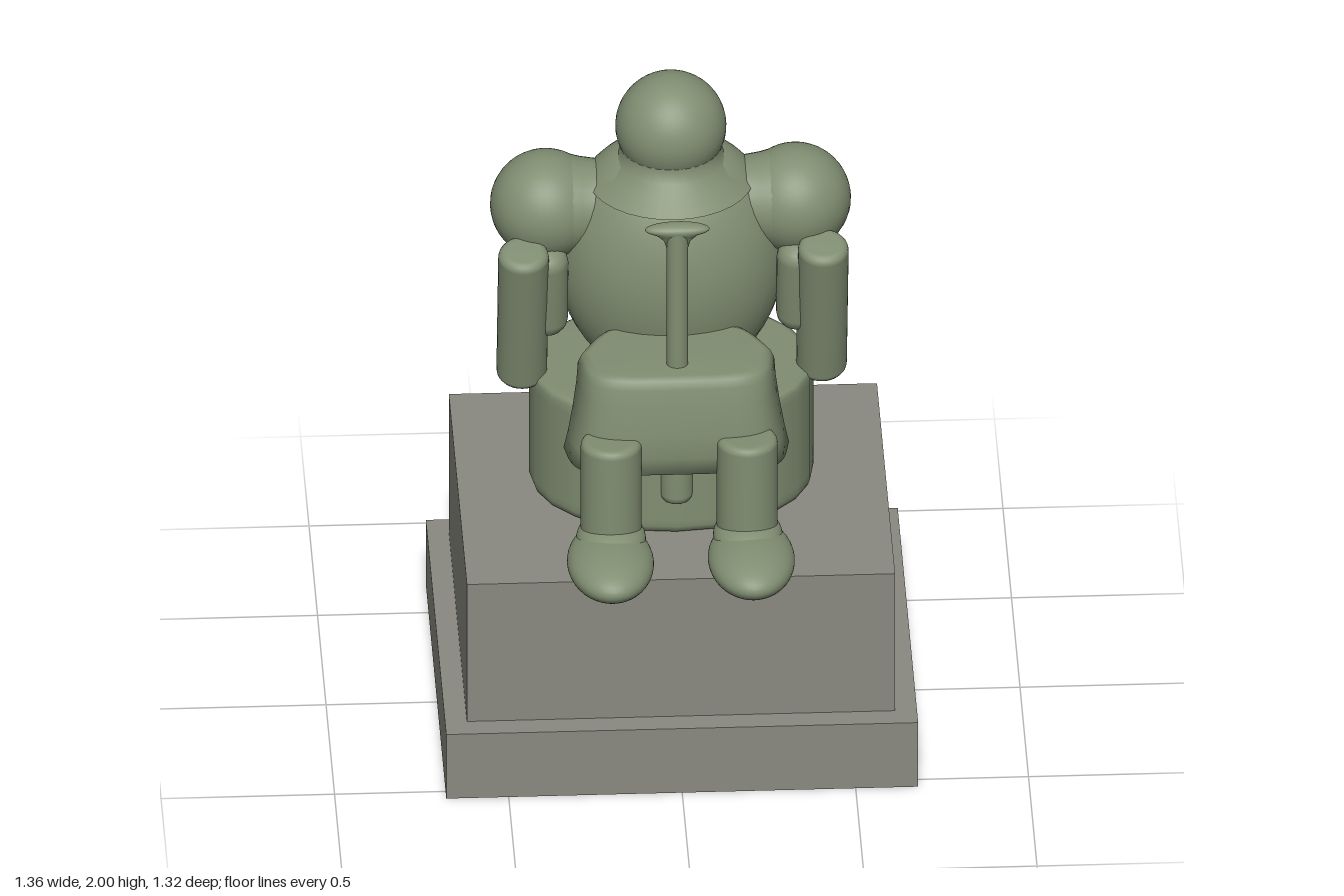
import * as THREE from 'three';

const patina = new THREE.MeshStandardMaterial({ color: 0x808e72 });
patina.name = 'green patina';
const stone = new THREE.MeshStandardMaterial({ color: 0x8a8a81 });
stone.name = 'grey stone';

export function createModel() {
  const model = new THREE.Group();
  model.name = 'seatedStatue';

  const add = (name, geometry, material = patina) => {
    const mesh = new THREE.Mesh(geometry, material);
    mesh.name = name;
    model.add(mesh);
    return mesh;
  };
  const block = (name, w, y0, y1, z0, z1) =>
    add(name, new THREE.BoxGeometry(w, y1 - y0, z1 - z0), stone)
      .position.set(0, (y0 + y1) / 2, (z0 + z1) / 2);
  const ball = (name, c, r) => {
    const mesh = add(name, new THREE.SphereGeometry(1, 40, 28));
    mesh.position.set(...c);
    mesh.scale.set(...r);
    return mesh;
  };
  const lathe = (name, points, sides = 32) =>
    add(name, new THREE.LatheGeometry(points.map(p => new THREE.Vector2(...p)), sides));
  // Round post with softened ends, running from a up to b
  const post = (name, a, b, r, bevel) => {
    const from = new THREE.Vector3(...a);
    const dir = new THREE.Vector3(...b).sub(from);
    const h = dir.length();
    const pts = [[0, 0]];
    for (let i = 0; i <= 4; i++) {
      const t = i / 4 * Math.PI / 2;
      pts.push([r - bevel + bevel * Math.sin(t), bevel - bevel * Math.cos(t)]);
    }
    for (let i = 0; i <= 4; i++) {
      const t = i / 4 * Math.PI / 2;
      pts.push([r - bevel + bevel * Math.cos(t), h - bevel + bevel * Math.sin(t)]);
    }
    pts.push([0, h]);
    const mesh = lathe(name, pts);
    mesh.position.copy(from);
    mesh.quaternion.setFromUnitVectors(new THREE.Vector3(0, 1, 0), dir.normalize());
    return mesh;
  };

  // Stepped plinth
  block('plinthBase', 1.36, 0, 0.215, -0.66, 0.54);
  block('plinthBlock', 1.234, 0.215, 0.675, -0.595, 0.47);

  // Oval seat with softened rims
  const seat = lathe('seat', [[0, 0.675], [0.94, 0.675], [0.985, 0.682], [1, 0.7], [1, 0.72], [1, 1.02],
    [1, 1.045], [0.985, 1.06], [0.94, 1.066], [0, 1.07]], 24);
  seat.scale.set(0.41, 1, 0.335);
  seat.position.z = -0.115;

  // Torso, neck and head
  ball('torso', [0, 1.4, -0.15], [0.33, 0.4, 0.262]);
  lathe('neck', [[0.24, 1.665], [0.19, 1.705], [0.16, 1.735], [0.146, 1.765], [0.148, 1.79]])
    .position.z = -0.13;
  ball('head', [0, 1.84, -0.13], [0.16, 0.16, 0.16]);

  // Yoke sweeping from one shoulder to the other
  const yoke = lathe('shoulderYoke', [[0.15, -0.36], [0.148, -0.31], [0.135, -0.26], [0.127, -0.21], [0.13, -0.15],
    [0.14, 0], [0.13, 0.15], [0.127, 0.21], [0.135, 0.26], [0.148, 0.31], [0.15, 0.36]]);
  yoke.rotation.z = -Math.PI / 2;
  yoke.position.set(0, 1.575, -0.15);

  for (const s of [1, -1]) {
    const side = s > 0 ? 'left' : 'right';
    // Shoulder and arm
    ball(side + 'Shoulder', [s * 0.36, 1.575, -0.15], [0.16, 0.16, 0.16]);
    post(side + 'Arm', [s * 0.432, 1.04, -0.087], [s * 0.432, 1.525, 0.03], 0.073, 0.025);
    post(side + 'ArmFold', [s * 0.36, 1.2, -0.07], [s * 0.36, 1.5, -0.02], 0.06, 0.05);
    // Knee, shin and foot
    post(side + 'Thigh', [s * 0.2, 1.0, 0.05], [s * 0.196, 1.0, 0.41], 0.078, 0.03);
    post(side + 'Shin', [s * 0.196, 0.7, 0.36], [s * 0.196, 1.085, 0.36], 0.088, 0.022);
    ball(side + 'Foot', [s * 0.203, 0.733, 0.462], [0.125, 0.072, 0.2]);
    ball(side + 'Ankle', [s * 0.197, 0.765, 0.38], [0.1, 0.06, 0.13]);
  }

  // Draped lap: stacked rounded sections [y, half width, back z, front z]
  const sections = [
    [0.945, 0, 0.17, 0.17], [0.945, 0.26, 0.04, 0.32], [0.96, 0.325, 0.02, 0.36],
    [1.02, 0.312, 0.01, 0.375], [1.1, 0.298, 0, 0.372], [1.18, 0.287, 0, 0.358],
    [1.235, 0.283, 0, 0.348], [1.26, 0.272, 0.01, 0.338], [1.27, 0.25, 0.03, 0.322], [1.268, 0, 0.17, 0.17],
  ];
  const N = 48, verts = [], faces = [];
  const bend = (v, p) => Math.sign(v) * Math.abs(v) ** p;
  sections.forEach(([y, w, z0, z1], j) => {
    for (let i = 0; i < N; i++) {
      const a = i / N * Math.PI * 2;
      const dz = bend(Math.sin(a), 0.45);
      const taper = dz < 0 ? 1 + 0.3 * dz : 1 - 0.08 * dz;
      verts.push(w * bend(Math.cos(a), 0.45) * taper, y, (z0 + z1) / 2 + dz * (z1 - z0) / 2);
      if (j === 0) continue;
      const k = (i + 1) % N, lo = (j - 1) * N, hi = j * N;
      faces.push(lo + i, hi + i, lo + k, lo + k, hi + i, hi + k);
    }
  });
  const lap = new THREE.BufferGeometry();
  lap.setAttribute('position', new THREE.Float32BufferAttribute(verts, 3));
  lap.setIndex(faces);
  lap.computeVertexNormals();
  add('drapedLap', lap);

  // Fold of cloth hanging between the legs
  post('hangingFold', [0, 0.78, 0.2], [0, 1.0, 0.2], 0.048, 0.03);
  ball('upperFold', [0, 0.95, 0.2], [0.1, 0.06, 0.08]);

  // Upright sword resting on the lap, with a flared crosspiece
  post('swordShaft', [0, 1.2, 0.25], [0, 1.72, 0.25], 0.031, 0.01);
  const flare = lathe('swordFlare', [[0.031, 1.655], [0.038, 1.68], [0.06, 1.7], [0.085, 1.712], [0.08, 1.72], [0, 1.725]]);
  flare.scale.z = 0.36;
  flare.position.z = 0.25;
  ball('swordCrosspiece', [0, 1.718, 0.25], [0.093, 0.02, 0.03]);

  return model;
}
